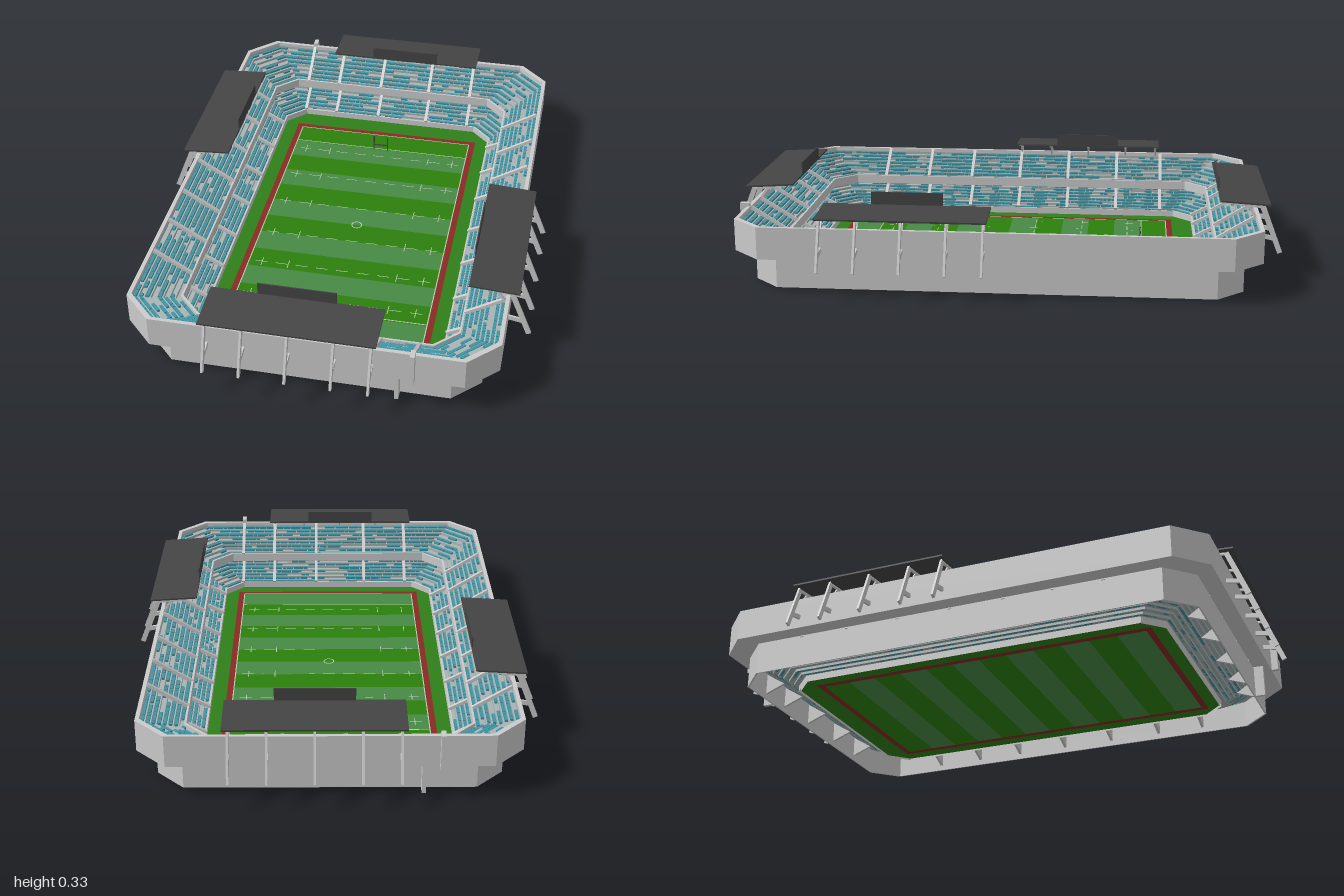
import * as THREE from 'three';
import { mergeGeometries } from 'three/addons/utils/BufferGeometryUtils.js';

const mat = (color) => new THREE.MeshStandardMaterial({ color, side: THREE.DoubleSide, flatShading: true });
const GREY = mat(0xcccccc), DARK = mat(0x444444), TEAL = mat(0x3f95a5), PALE = mat(0xa9b4b4);
const GREEN = mat(0x2f7f18), STRIPE = mat(0x2c800c), LIGHT = mat(0x478a45), RED = mat(0x8a2a25), WHITE = mat(0xb4cbb0);
const HX = 0.43, HZ = 0.705, FY = 0.012; // pitch half sizes and height

let seed = 7;
const rand = () => (seed = (seed * 16807) % 2147483647) / 2147483647;

function add(parent, name, geometry, material) {
  const m = new THREE.Mesh(geometry, material);
  m.name = name;
  parent.add(m);
  return m;
}

// Chamfered rectangle at distance d outside the pitch edge
function octagon(d) {
  const a = HX + d, b = HZ + d, c = 0.07 + 0.16 * d;
  return [[a, b - c], [a - c, b], [c - a, b], [-a, b - c], [-a, c - b], [c - a, -b], [a - c, -b], [a, c - b]];
}

// Sweep a [distance, height] profile round the octagon
function sweep(profile) {
  const pos = [];
  for (let i = 0; i + 1 < profile.length; i++) {
    const [d0, y0] = profile[i], [d1, y1] = profile[i + 1];
    const o0 = octagon(d0), o1 = octagon(d1);
    for (let k = 0; k < 8; k++) {
      const n = (k + 1) % 8;
      const A = [o0[k][0], y0, o0[k][1]], B = [o0[n][0], y0, o0[n][1]];
      const C = [o1[n][0], y1, o1[n][1]], D = [o1[k][0], y1, o1[k][1]];
      pos.push(...A, ...C, ...B, ...A, ...D, ...C);
    }
  }
  const g = new THREE.BufferGeometry();
  g.setAttribute('position', new THREE.Float32BufferAttribute(pos, 3));
  g.computeVertexNormals();
  return g;
}

// Stepped terrace with rows of seats in irregular runs
function tier(parent, name, d0, y0, d1, y1, rows) {
  const steps = [[d0, y0]], seats = [];
  const w = (d1 - d0) / rows, h = (y1 - y0) / rows;
  for (let r = 0; r < rows; r++) {
    const y = y0 + h * r;
    steps.push([d0 + w * (r + 1), y], [d0 + w * (r + 1), y + h]);
    const o = octagon(d0 + w * (r + 0.6));
    for (let k = 0; k < 8; k++) {
      const [ax, az] = o[k], [bx, bz] = o[(k + 1) % 8];
      const len = Math.hypot(bx - ax, bz - az), angle = -Math.atan2(bz - az, bx - ax);
      for (let s = 0.004; s < len - 0.012;) {
        const run = Math.min(0.014 * (1 + Math.floor(rand() * 4)), len - s);
        const t = (s + run / 2) / len;
        if (rand() < 0.78) {
          seats.push(new THREE.BoxGeometry(run, 0.008, w * 0.6).rotateY(angle)
            .translate(ax + (bx - ax) * t, y + 0.004, az + (bz - az) * t));
        }
        s += run + 0.003;
      }
    }
  }
  add(parent, name + 'Terrace', sweep(steps), PALE);
  add(parent, name + 'Seats', mergeGeometries(seats), TEAL);
}

// Bar in a side's frame: z points outwards, x runs along the side
function bar(x, d0, y0, d1, y1, thick, width) {
  return new THREE.BoxGeometry(width, thick, Math.hypot(d1 - d0, y1 - y0))
    .rotateX(-Math.atan2(y1 - y0, d1 - d0)).translate(x, (y0 + y1) / 2, (d0 + d1) / 2);
}

const flat = (w, d, x, z, y = FY) => new THREE.PlaneGeometry(w, d).rotateX(-Math.PI / 2).translate(x, y, z);

// Flat frame lying on the pitch
function frame(hw, hd, t) {
  const s = new THREE.Shape([[-hw, -hd], [hw, -hd], [hw, hd], [-hw, hd]].map((p) => new THREE.Vector2(...p)));
  const [iw, id] = [hw - t, hd - t];
  s.holes.push(new THREE.Path([[-iw, -id], [-iw, id], [iw, id], [iw, -id]].map((p) => new THREE.Vector2(...p))));
  return new THREE.ShapeGeometry(s).rotateX(-Math.PI / 2);
}

function pitch() {
  const g = new THREE.Group();
  g.name = 'pitch';
  const cz = 0.015, hw = 0.357, hd = 0.62;
  // Grass surround with an opening for the striped field
  const s = new THREE.Shape(octagon(0).map(([x, z]) => new THREE.Vector2(x, -z)));
  const [ow, od] = [hw + 0.022, hd + 0.022];
  s.holes.push(new THREE.Path([[-ow, -od - cz], [ow, -od - cz], [ow, od - cz], [-ow, od - cz]].map((p) => new THREE.Vector2(...p))));
  add(g, 'grassSurround', new THREE.ShapeGeometry(s).rotateX(-Math.PI / 2).translate(0, FY, 0), GREEN);
  add(g, 'redBorder', frame(ow, od, 0.022).translate(0, FY, cz), RED);
  // Mown stripes
  const n = 12, step = (2 * hd) / n;
  for (let i = 0; i < n; i++) {
    add(g, 'grassStripe', flat(2 * hw, step, 0, cz - hd + step * (i + 0.5)), i % 2 ? LIGHT : STRIPE);
  }
  // White markings
  const y = FY + 0.0015, lines = [frame(hw, hd, 0.004).translate(0, y, cz)];
  for (const z of [-0.505, 0.527]) lines.push(flat(2 * hw, 0.004, 0, z, y));
  for (const z of [-0.45, -0.27, -0.085, 0.117, 0.297, 0.475]) {
    for (let i = -4; i <= 4; i++) lines.push(flat(0.045, 0.003, i * 0.077, z, y));
    for (const x of [-0.305, -0.205, 0.205, 0.305]) lines.push(flat(0.003, 0.045, x, z, y));
  }
  lines.push(new THREE.RingGeometry(0.017, 0.021, 24).rotateX(-Math.PI / 2).translate(0, y, cz));
  add(g, 'pitchMarkings', mergeGeometries(lines), WHITE);
  // Goal posts at the back end
  const posts = [-0.028, 0.028].map((x) => new THREE.BoxGeometry(0.004, 0.065, 0.004).translate(x, FY + 0.0325, -0.5));
  posts.push(new THREE.BoxGeometry(0.056, 0.004, 0.004).translate(0, FY + 0.025, -0.5));
  add(g, 'goalPosts', mergeGeometries(posts), DARK);
  return g;
}

// Roof, leaning supports, aisles and ribs belonging to one side
function side(name, angle, half, roofX, roofLen, aisles, isEnd) {
  const g = new THREE.Group();
  g.name = name;
  g.rotation.y = angle;
  const at = (x, d0, y0, d1, y1, t, w) => bar(x, half + d0, y0, half + d1, y1, t, w);
  add(g, 'roof', at(roofX, 0.07, 0.284, 0.245, 0.273, 0.006, roofLen), DARK);
  add(g, 'roofBoard', new THREE.BoxGeometry(isEnd ? 0.27 : 0.25, 0.048, 0.004).translate(roofX, 0.307, half + 0.072), DARK);
  const legs = [];
  for (const u of [-0.28, -0.155, 0, 0.155, 0.28]) {
    const x = roofX + u;
    legs.push(at(x, 0.284, 0.097, 0.217, 0.266, 0.018, 0.008));
    legs.push(at(x, 0.195, 0.162, 0.258, 0.15, 0.016, 0.008));
    legs.push(at(x, 0.225, 0.262, 0.1, 0.276, 0.008, 0.008));
    legs.push(at(x, 0.2, 0.22, 0.165, 0.27, 0.008, 0.006));
  }
  add(g, 'roofSupports', mergeGeometries(legs), GREY);
  add(g, 'aisles', mergeGeometries(aisles.flatMap((x) => [
    at(x, 0, 0.038, 0.15, 0.118, 0.012, 0.012),
    at(x, 0.06, 0.143, 0.195, 0.227, 0.012, 0.012),
  ])), GREY);
  // Triangular ribs under the lower tier
  const tri = new THREE.Shape([[0.07, 0.05], [0.148, 0.02], [0.148, 0.1]].map((p) => new THREE.Vector2(...p)));
  add(g, 'terraceRibs', mergeGeometries(aisles.map((x) =>
    new THREE.ExtrudeGeometry(tri, { depth: 0.01, bevelEnabled: false })
      .rotateY(-Math.PI / 2).translate(x + 0.005, 0, half))), GREY);
  if (isEnd) {
    // Service columns on the outer wall
    add(g, 'upperColumn', new THREE.BoxGeometry(0.016, 0.125, 0.035).translate(0.363, 0.1825, half + 0.217), GREY);
    add(g, 'lowerColumn', new THREE.BoxGeometry(0.014, 0.12, 0.035).translate(0.307, 0.06, half + 0.17), GREY);
  }
  return g;
}

export function createModel() {
  const model = new THREE.Group();
  model.name = 'stadium';
  model.add(pitch());
  tier(model, 'lower', 0.005, 0.03, 0.145, 0.11, 9);
  tier(model, 'upper', 0.06, 0.135, 0.196, 0.218, 8);
  // Fences and walls, each one closed profile
  add(model, 'pitchFence', sweep([[0, 0.008], [0, 0.036], [0.006, 0.036], [0.006, 0.008]]), GREY);
  add(model, 'balcony', sweep([[0.055, 0.112], [0.055, 0.146], [0.062, 0.146], [0.062, 0.112], [0.055, 0.112]]), GREY);
  add(model, 'lowerWall', sweep([[0.145, 0.12], [0.145, 0], [0.15, 0], [0.15, 0.12]]), GREY);
  add(model, 'upperWall', sweep([[0.145, 0.118], [0.21, 0.118], [0.21, 0.232], [0.196, 0.232], [0.196, 0.21]]), GREY);
  // Four sides
  const ends = [-0.33, -0.155, 0.05, 0.23, 0.363], longs = [-0.58, -0.4, -0.2, 0, 0.2, 0.38, 0.56];
  model.add(side('frontSide', 0, HZ, -0.052, 0.597, ends, true));
  model.add(side('backSide', Math.PI, HZ, -0.05, 0.597, ends, true));
  model.add(side('leftSide', Math.PI / 2, HX, -0.31, 0.585, longs, false));
  model.add(side('rightSide', -Math.PI / 2, HX, -0.28, 0.585, longs, false));
  return model;
}
